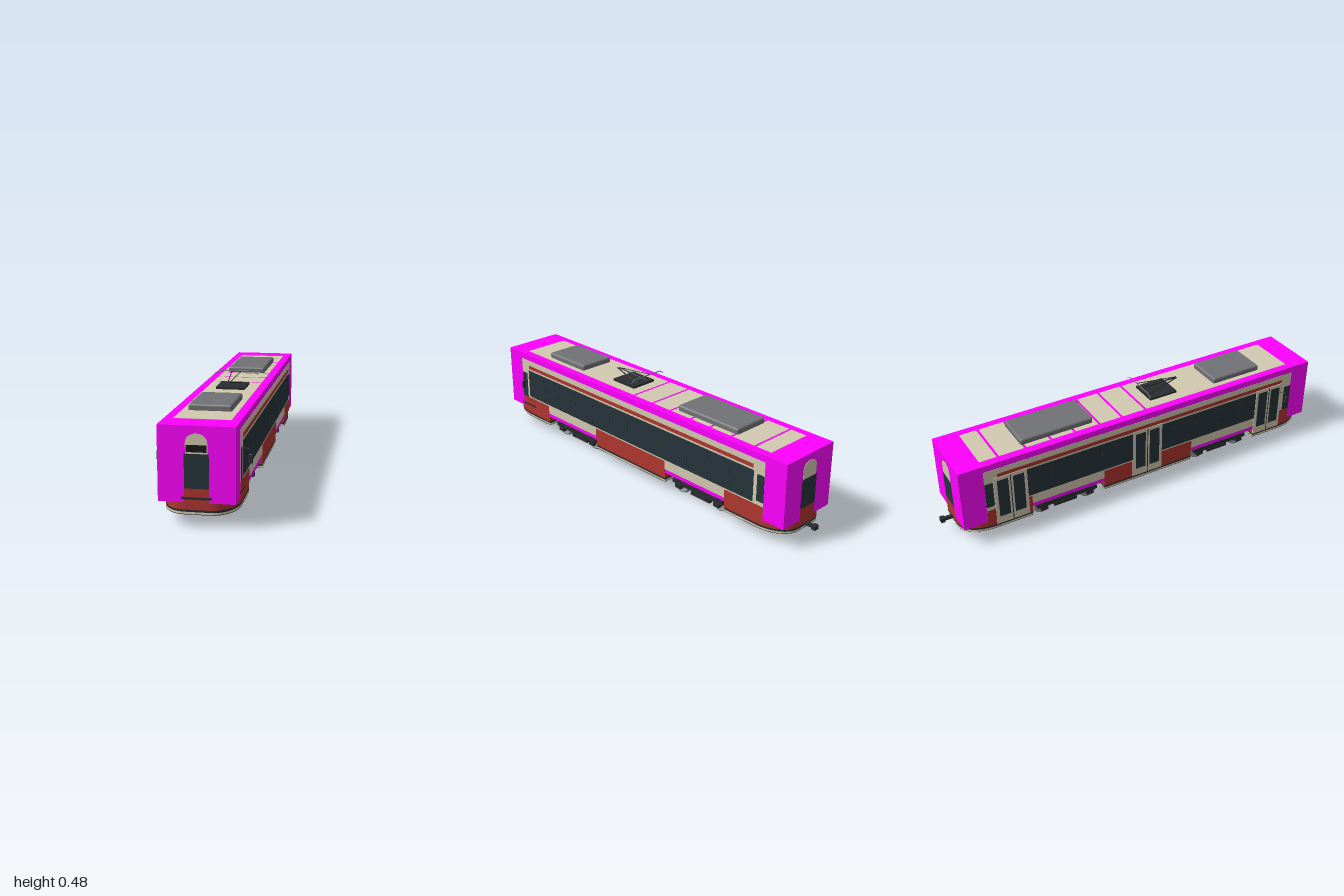
import * as THREE from 'three';
import { RoundedBoxGeometry } from 'three/addons/geometries/RoundedBoxGeometry.js';

const mat = (color) => new THREE.MeshStandardMaterial({ color, side: THREE.DoubleSide });
const M = {
  shell: mat(0xff00ff), cream: mat(0xd2c9b0), red: mat(0xb03630), glass: mat(0x26343a),
  dark: mat(0x2a2d30), floor: mat(0x181818), grey: mat(0x717275), steel: mat(0x96999b),
};
const W = 0.158, FRONT = 0.995, BACK = -0.94;

export function createModel() {
  const tram = new THREE.Group();
  tram.name = 'tram';

  const add = (name, geo, m, parent = tram) => {
    const mesh = new THREE.Mesh(geo, M[m]);
    mesh.name = name;
    parent.add(mesh);
    return mesh;
  };
  // Box given by its extents
  const box = (name, m, x0, x1, y0, y1, z0, z1, parent = tram) => {
    const mesh = add(name, new THREE.BoxGeometry(Math.abs(x1 - x0), y1 - y0, Math.abs(z1 - z0)), m, parent);
    mesh.position.set((x0 + x1) / 2, (y0 + y1) / 2, (z0 + z1) / 2);
    return mesh;
  };
  // Round bar between two points
  const rod = (name, m, a, b, r, parent = tram) => {
    const p = new THREE.Vector3(...a), q = new THREE.Vector3(...b);
    const mesh = add(name, new THREE.CylinderGeometry(r, r, p.distanceTo(q), 8), m, parent);
    mesh.position.copy(p).add(q).multiplyScalar(0.5);
    mesh.quaternion.setFromUnitVectors(new THREE.Vector3(0, 1, 0), q.sub(p).normalize());
    return mesh;
  };
  // Thin panel on one side of the body
  const sidePanel = (name, m, s, y0, y1, z0, z1, out = 0.001) =>
    box(name, m, s * (W - 0.002), s * (W + out), y0, y1, z0, z1);

  box('bodyShell', 'shell', -W, W, 0.102, 0.415, BACK, FRONT);

  // Skirts: straight in the middle, rounded at both ends, in stacked colour bands
  const plan = (zIn, zOut, rounded) => {
    const s = new THREE.Shape(), d = Math.sign(zOut - zIn), w = W - 0.001;
    s.moveTo(-w, zIn);
    s.lineTo(w, zIn);
    if (rounded) {
      s.lineTo(w, zOut - d * 0.16);
      s.bezierCurveTo(w, zOut - d * 0.06, 0.11, zOut, 0.05, zOut);
      s.lineTo(-0.05, zOut);
      s.bezierCurveTo(-0.11, zOut, -w, zOut - d * 0.06, -w, zOut - d * 0.16);
    } else {
      s.lineTo(w, zOut);
      s.lineTo(-w, zOut);
    }
    s.closePath();
    return s;
  };
  const bands = [['floorPlate', 'floor', 0.052, 0.054], ['lowerBand', 'cream', 0.054, 0.063],
    ['rubbingStrip', 'dark', 0.063, 0.072], ['skirt', 'red', 0.072, 0.104]];
  for (const [a, b, round] of [[0.67, FRONT, true], [-0.22, 0.28, false], [-0.6, BACK, true]]) {
    for (const [name, m, y0, y1] of bands) {
      const g = new THREE.ExtrudeGeometry(plan(a, b, round), { depth: y1 - y0, bevelEnabled: false, curveSegments: 16 });
      g.rotateX(Math.PI / 2).translate(0, y1, 0);
      add(name, g, m);
    }
  }

  // Sides: cream field, red panels, stripe and windows
  for (const s of [1, -1]) {
    sidePanel('sideField', 'cream', s, 0.122, 0.383, -0.825, 0.89);
    for (const [a, b] of [[0.67, 0.89], [-0.22, 0.28], [-0.825, -0.6]])
      sidePanel('lowerPanel', 'red', s, 0.1, 0.165, a, b, 0.0015);
    sidePanel('stripe', 'red', s, 0.335, 0.354, -0.76, 0.83, 0.0015);
    sidePanel('frontCabWindow', 'glass', s, 0.165, 0.305, 0.85, 0.89, 0.002);
    sidePanel('rearCabWindow', 'glass', s, 0.185, 0.315, -0.825, -0.785, 0.002);
    const n = 12, z0 = -0.765, step = 1.6 / n;
    sidePanel('windowBand', 'glass', s, 0.172, 0.325, z0, 0.835, 0.0015);
    for (let i = 0; i < n; i++)
      sidePanel('windowPane', 'glass', s, 0.174, 0.323, z0 + i * step + 0.002, z0 + (i + 1) * step - 0.002, 0.0025);
  }
  sidePanel('guardStrip', 'dark', 1, 0.117, 0.125, 0.79, 0.9, 0.003);

  // Double doors on the right side
  for (const z of [0.75, 0.02, -0.7]) {
    const door = new THREE.Group();
    door.name = 'door';
    tram.add(door);
    box('doorFrame', 'cream', -W + 0.002, -0.1625, 0.075, 0.335, z - 0.082, z + 0.082, door);
    for (const s of [-1, 1])
      box('doorGlass', 'glass', -0.16, -0.164, 0.115, 0.318, z + s * 0.012, z + s * 0.066, door);
    box('doorSeam', 'dark', -0.16, -0.1635, 0.078, 0.33, z - 0.002, z + 0.002, door);
  }

  // Both ends: arched panel, sign box, windscreen and red apron
  const arch = new THREE.Shape();
  arch.moveTo(-0.045, 0.295);
  arch.lineTo(0.045, 0.295);
  arch.lineTo(0.045, 0.345);
  arch.bezierCurveTo(0.045, 0.397, -0.045, 0.397, -0.045, 0.345);
  arch.closePath();
  for (const [z, d] of [[FRONT, 1], [BACK, -1]]) {
    const a = add('archPanel', new THREE.ExtrudeGeometry(arch, { depth: 0.003, bevelEnabled: false }), 'cream');
    a.position.z = z - 0.0015;
    box('windscreen', 'glass', -0.05, 0.05, 0.16, 0.302, z - 0.002, z + d * 0.002);
    box('apron', 'red', -0.05, 0.05, 0.1, 0.16, z - 0.002, z + d * 0.0015);
    if (d > 0) {
      box('signBox', 'floor', -0.042, 0.042, 0.309, 0.338, z, z + 0.003);
      box('bumperBar', 'dark', -0.062, 0.062, 0.116, 0.125, z - 0.01, z + 0.005);
    }
  }

  // Rear coupler
  box('couplerBar', 'dark', -0.008, 0.008, 0.066, 0.08, -0.985, -0.92);
  box('couplerHead', 'dark', -0.013, 0.013, 0.062, 0.084, -1, -0.98);

  // Roof panels separated by ribs
  const seams = [0.88, 0.03, -0.1, -0.22, -0.35, -0.47, -0.6, -0.735, -0.83];
  for (let i = 0; i < seams.length - 1; i++)
    box('roofPanel', 'cream', -0.12, 0.12, 0.413, 0.416, seams[i + 1] + 0.007, seams[i] - 0.005);

  // Roof equipment boxes
  for (const [a, b] of [[-0.61, -0.24], [0.445, 0.72]]) {
    const m = add('roofUnit', new RoundedBoxGeometry(0.187, 0.034, b - a, 3, 0.01), 'grey');
    m.position.set(0, 0.426, (a + b) / 2);
  }

  // Pantograph
  const pan = new THREE.Group();
  pan.name = 'pantograph';
  tram.add(pan);
  box('pantographBase', 'dark', -0.068, 0.068, 0.415, 0.427, 0.09, 0.24, pan);
  for (const s of [-1, 1]) {
    rod('lowerArm', 'dark', [s * 0.032, 0.428, 0.1], [s * 0.004, 0.456, 0.28], 0.003, pan);
    rod('upperArm', 'dark', [s * 0.004, 0.456, 0.28], [s * 0.022, 0.473, 0.07], 0.002, pan);
    rod('contactHorn', 'grey', [s * 0.082, 0.475, 0.065], [s * 0.108, 0.461, 0.065], 0.002, pan);
  }
  rod('contactBar', 'grey', [-0.082, 0.475, 0.065], [0.082, 0.475, 0.065], 0.0025, pan);

  // Mirrors
  for (const s of [-1, 1]) {
    rod('mirrorArm', 'dark', [s * 0.155, 0.289, 0.81], [s * 0.187, 0.289, 0.838], 0.002);
    rod('mirrorStem', 'dark', [s * 0.187, 0.289, 0.838], [s * 0.192, 0.268, 0.842], 0.002);
    const m = add('mirror', new RoundedBoxGeometry(0.017, 0.04, 0.01, 2, 0.004), 'dark');
    m.position.set(s * 0.192, 0.251, 0.842);
  }

  // Bogies
  const wheelProfile = [[0.007, -0.008], [0.02, -0.004], [0.035, -0.004], [0.039, -0.008],
    [0.045, -0.008], [0.046, 0.004], [0.05, 0.005], [0.05, 0.008], [0.036, 0.008], [0.034, 0.003], [0.007, 0.006]]
    .map(([r, y]) => new THREE.Vector2(r, y));
  for (const z of [0.478, -0.408]) {
    const bogie = new THREE.Group();
    bogie.name = 'bogie';
    bogie.position.z = z;
    tram.add(bogie);
    for (const d of [-1, 1]) {
      const az = d * 0.123;
      rod('axle', 'steel', [-0.125, 0.05, az], [0.125, 0.05, az], 0.008, bogie);
      for (const s of [-1, 1]) {
        const w = add('wheel', new THREE.LatheGeometry(wheelProfile, 28), 'steel', bogie);
        w.rotation.z = s * Math.PI / 2;
        w.position.set(s * 0.1, 0.05, az);
        box('axleBox', 'dark', s * 0.114, s * 0.134, 0.034, 0.066, az - 0.018, az + 0.018, bogie);
        rod('spring', 'dark', [s * 0.124, 0.066, az], [s * 0.124, 0.098, az], 0.012, bogie);
      }
    }
    for (const s of [-1, 1]) {
      box('sideFrame', 'dark', s * 0.115, s * 0.133, 0.055, 0.076, -0.16, 0.16, bogie);
      box('secondarySpring', 'dark', s * 0.11, s * 0.136, 0.076, 0.102, -0.032, 0.032, bogie);
      box('trackBrake', 'dark', s * 0.09, s * 0.11, 0.016, 0.032, -0.06, 0.06, bogie);
      for (const d of [-1, 1])
        box('brakeHanger', 'dark', s * 0.095, s * 0.118, 0.03, 0.06, d * 0.038, d * 0.05, bogie);
      box('motor', 'dark', s * 0.016, s * 0.073, 0.032, 0.075, -0.075, 0.075, bogie);
    }
    box('bolster', 'dark', -0.125, 0.125, 0.056, 0.08, -0.04, 0.04, bogie);
  }
  return tram;
}
